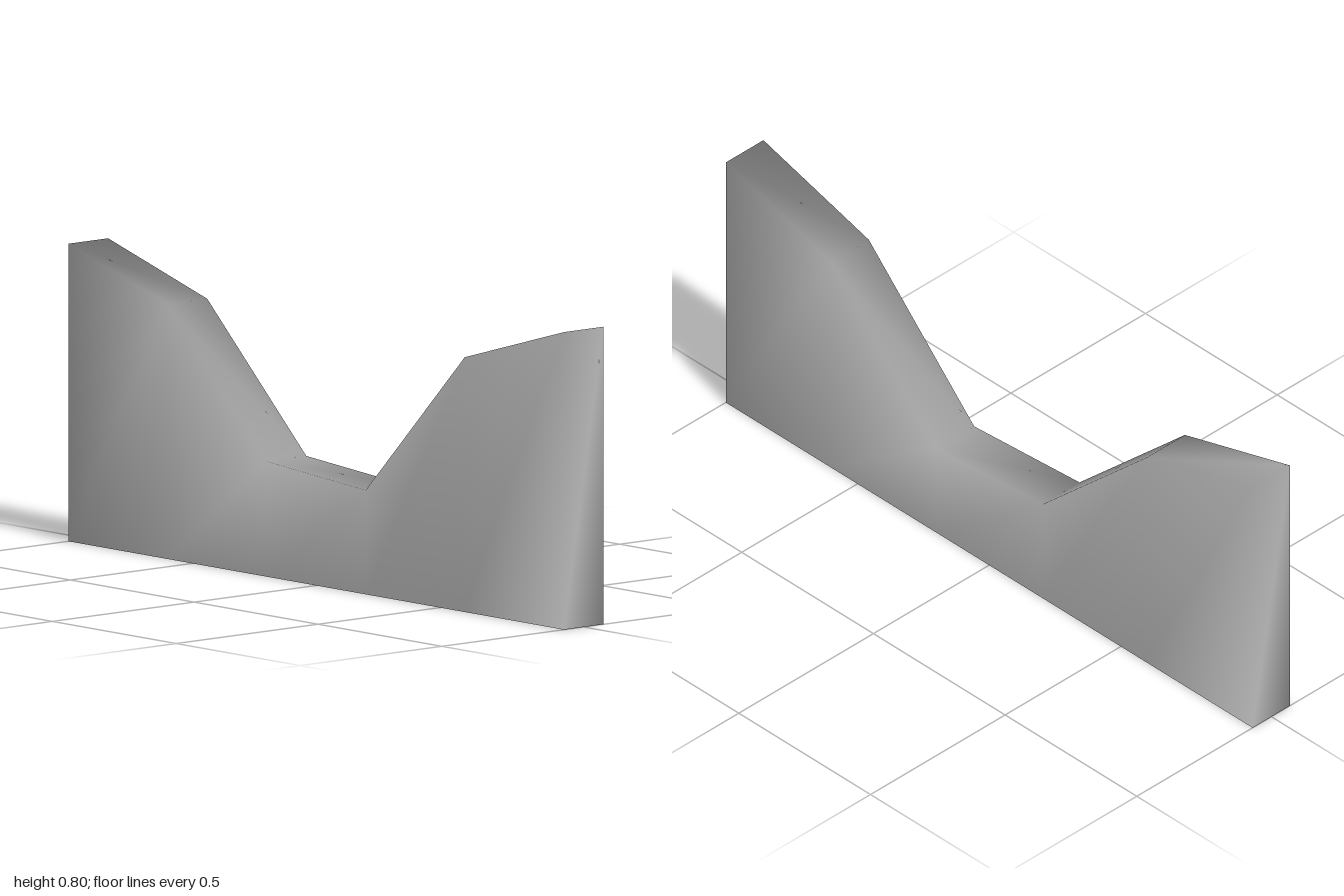
import * as THREE from 'three';

// Height of the wall's top edge at evenly spaced stations from -x to +x
const HEIGHTS = [0.8, 0.685, 0.31, 0.28, 0.685, 0.8];
const LENGTH = 2;
const HALF_DEPTH = 0.07;

// Smooth shell swept along x: front, top, back and both ends, open underneath
function wallGeometry() {
  const last = HEIGHTS.length - 1;
  const positions = [];
  HEIGHTS.forEach((h, i) => {
    const x = -LENGTH / 2 + (LENGTH * i) / last;
    positions.push(x, 0, HALF_DEPTH, x, h, HALF_DEPTH, x, h, -HALF_DEPTH, x, 0, -HALF_DEPTH);
  });

  const index = [];
  const quad = (a, b, c, d) => index.push(a, b, c, a, c, d);
  for (let i = 0; i < last; i++) {
    const s = i * 4;
    for (let j = 0; j < 3; j++) quad(s + j, s + 4 + j, s + 5 + j, s + 1 + j);
  }
  // End faces
  const e = last * 4;
  quad(e, e + 3, e + 2, e + 1);
  quad(3, 0, 1, 2);

  const geometry = new THREE.BufferGeometry();
  geometry.setAttribute('position', new THREE.Float32BufferAttribute(positions, 3));
  geometry.setIndex(index);
  geometry.computeVertexNormals();
  return geometry;
}

export function createModel() {
  const material = new THREE.MeshStandardMaterial({ color: 0xcccccc, side: THREE.DoubleSide });
  material.name = 'lightGrey';

  const wall = new THREE.Mesh(wallGeometry(), material);
  wall.name = 'dippedWall';

  const group = new THREE.Group();
  group.name = 'wallSection';
  group.add(wall);
  return group;
}
